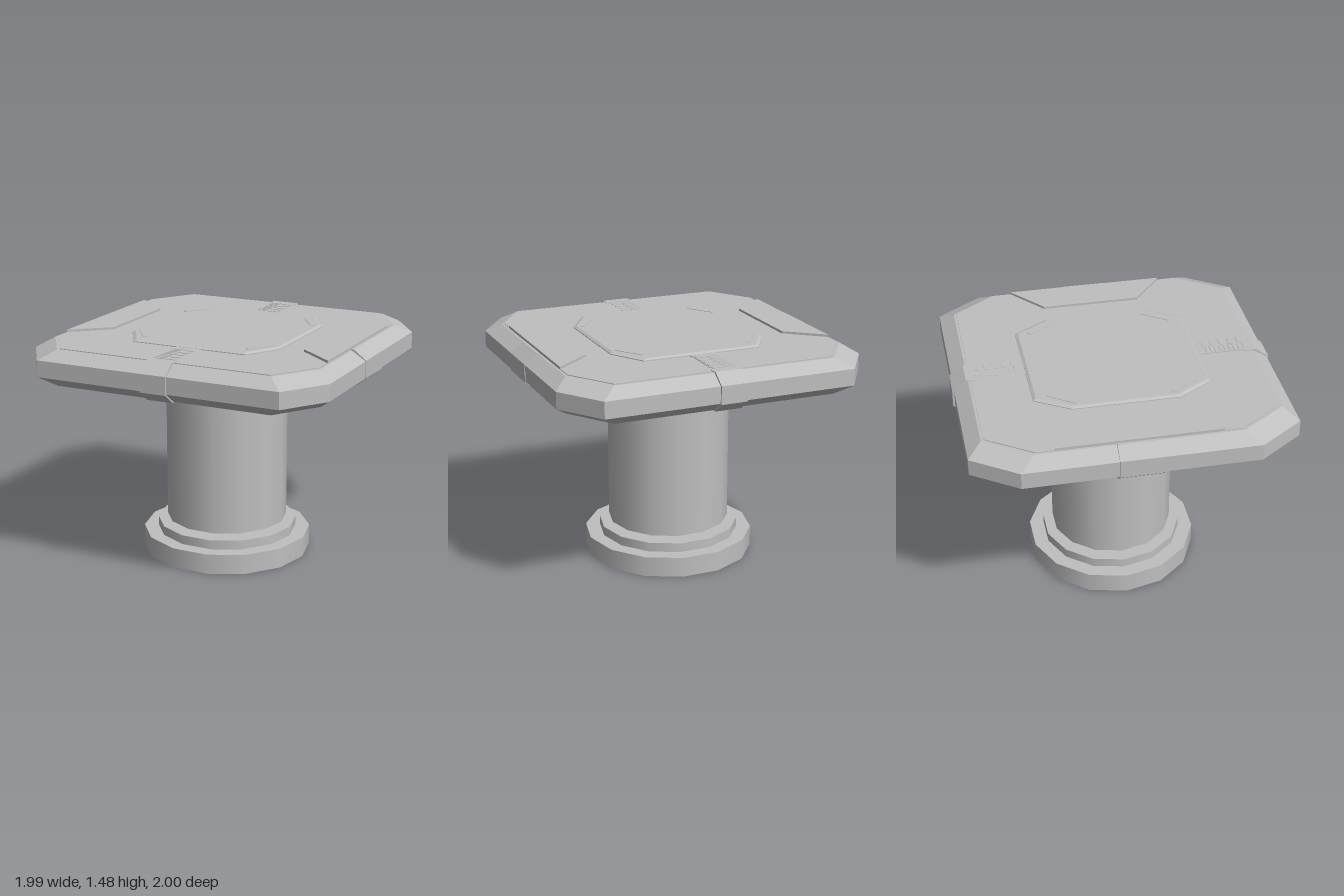
import * as THREE from 'three';

const steel = new THREE.MeshStandardMaterial({ color: 0xbfbfbf });
steel.name = 'grey metal';

// Octagon with half sizes x, z; straight edges end at cx (front) and cz (sides)
const octagon = (x, z, cx, cz) => [
  [cx, z], [x, cz], [x, -cz], [cx, -z], [-cx, -z], [-x, -cz], [-x, cz], [-cx, z],
];

// Faceted solid through horizontal rings, each { y, p: [[x, z], ...] }, bottom to top
function loft(rings) {
  const pos = [];
  const tri = (...pts) => pts.forEach((p) => pos.push(...p));
  const at = (ring, i) => {
    const [x, z] = ring.p[i % ring.p.length];
    return [x, ring.y, z];
  };
  const n = rings[0].p.length;
  for (let r = 0; r < rings.length - 1; r++) {
    for (let i = 0; i < n; i++) {
      const a = at(rings[r], i), b = at(rings[r], i + 1);
      const c = at(rings[r + 1], i + 1), d = at(rings[r + 1], i);
      tri(a, b, c);
      tri(a, c, d);
    }
  }
  const bottom = rings[0], top = rings[rings.length - 1];
  for (let i = 1; i < n - 1; i++) {
    tri(at(top, 0), at(top, i), at(top, i + 1));
    tri(at(bottom, 0), at(bottom, i + 1), at(bottom, i));
  }
  const geo = new THREE.BufferGeometry();
  geo.setAttribute('position', new THREE.Float32BufferAttribute(pos, 3));
  geo.computeVertexNormals();
  return geo;
}

export function createModel() {
  const group = new THREE.Group();
  const add = (name, geo, x = 0, y = 0, z = 0, ry = 0) => {
    const mesh = new THREE.Mesh(geo, steel);
    mesh.name = name;
    mesh.position.set(x, y, z);
    mesh.rotation.y = ry;
    group.add(mesh);
    return mesh;
  };

  // Round pedestal, fourteen sides; the column hovers just above its base
  const drum = (name, r, y0, y1) =>
    add(name, new THREE.CylinderGeometry(r, r, y1 - y0, 14), -0.007, (y0 + y1) / 2, 0, Math.PI / 2);
  drum('baseDisc', 0.547, 0, 0.13);
  drum('baseStep', 0.454, 0.13, 0.19);
  drum('column', 0.392, 0.215, 1.2);
  drum('collar', 0.442, 1.19, 1.23);

  // Bevelled table slab
  const outer = octagon(0.99, 0.988, 0.8, 0.71);
  const inner = octagon(0.9, 0.9, 0.71, 0.62);
  add('tableSlab', loft([
    { y: 1.225, p: inner }, { y: 1.29, p: outer },
    { y: 1.395, p: outer }, { y: 1.452, p: inner },
  ]));
  const panel = octagon(0.885, 0.885, 0.7, 0.61);
  add('topPanel', loft([{ y: 1.45, p: panel }, { y: 1.457, p: panel }]));

  // Raised centre plate with a narrow bevel
  const plate = octagon(0.51, 0.545, 0.38, 0.33);
  add('centrePlate', loft([
    { y: 1.455, p: plate }, { y: 1.462, p: plate },
    { y: 1.472, p: octagon(0.493, 0.527, 0.368, 0.32) },
  ]));

  // Slanted slots at the corners of the centre plate
  const slot = new THREE.BoxGeometry(0.2, 0.006, 0.03);
  for (const sx of [-1, 1]) {
    for (const sz of [-1, 1]) {
      add('plateSlot', slot, sx * 0.405, 1.472, sz * 0.375, sx * sz * 0.96);
    }
  }

  // Trapezoid side panels
  for (const s of [-1, 1]) {
    const p = [[0.89, 0.5], [0.89, -0.5], [0.66, -0.31], [0.66, 0.31]].map(([x, z]) => [s * x, s * z]);
    add('sidePanel', loft([{ y: 1.455, p }, { y: 1.472, p }]));
  }

  // Clamps wrapping the rim, cut from its profile
  function clamp(name, width, reach, ry) {
    const shape = new THREE.Shape([
      [0.895, 1.219], [0.912, 1.219], [reach, 1.286], [reach, 1.399], [0.912, 1.461], [0.895, 1.461],
    ].map(([x, y]) => new THREE.Vector2(x, y)));
    const geo = new THREE.ExtrudeGeometry(shape, { depth: width, bevelEnabled: false });
    geo.translate(0, 0, -width / 2);
    add(name, geo, 0, 0, 0, ry);
  }
  for (const turn of [0, Math.PI]) {
    clamp('sideClamp', 0.28, 0.994, turn);
    clamp('endClamp', 0.17, 1, turn + Math.PI / 2);
  }

  // Strips joining the plate to the rim, flared at both ends, with vents
  const bar = new THREE.BoxGeometry(0.065, 0.006, 0.01);
  const pad = new THREE.BoxGeometry(0.062, 0.006, 0.03);
  for (const s of [-1, 1]) {
    const p = [[0.09, 0.9], [0.09, 0.86], [0.075, 0.82], [0.075, 0.58], [0.09, 0.53],
      [-0.09, 0.53], [-0.075, 0.58], [-0.075, 0.82], [-0.09, 0.86], [-0.09, 0.9]]
      .map(([x, z]) => [s * x, s * z]);
    add('ventStrip', loft([{ y: 1.455, p }, { y: 1.461, p }]));
    for (let i = 0; i < 5; i++) add('ventPad', pad, 0.038, 1.461, s * (0.605 + i * 0.057));
    for (let i = 0; i < 9; i++) add('ventBar', bar, -0.036, 1.461, s * (0.605 + i * 0.03));
  }
  return group;
}
